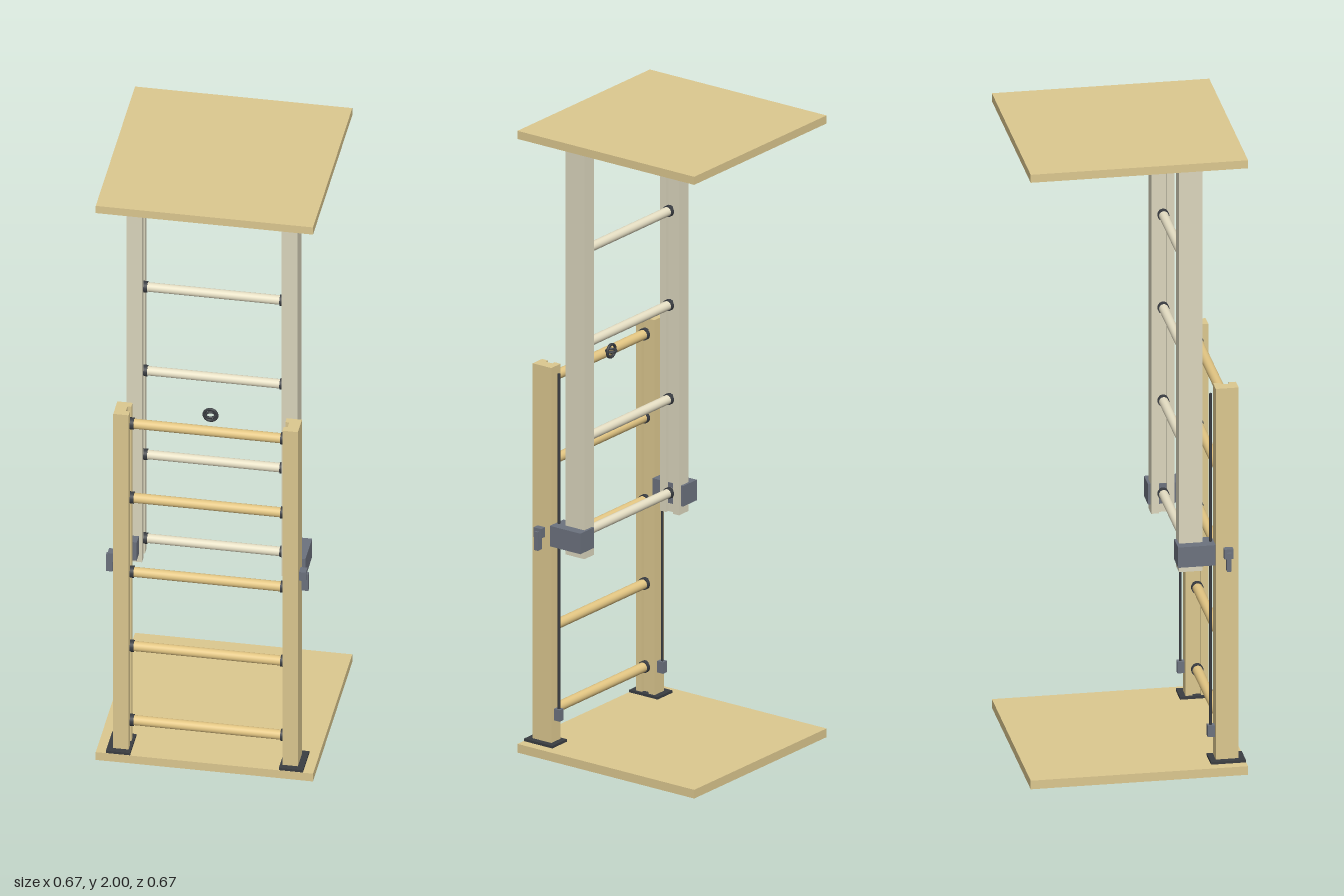
import * as THREE from 'three';

const mat = (color) => new THREE.MeshStandardMaterial({ color });
const WOOD = mat(0xdcc88f), RUNG = mat(0xe3c683), PALE = mat(0xdbd6bd), PALE_RUNG = mat(0xe6dfc4);
const STEEL = mat(0x6c727e), DARK = mat(0x3a3d42);

export function createModel() {
  const model = new THREE.Group();

  const add = (name, geometry, material, x = 0, y = 0, z = 0, parent = model) => {
    const mesh = new THREE.Mesh(geometry, material);
    mesh.name = name;
    mesh.position.set(x, y, z);
    parent.add(mesh);
    return mesh;
  };

  // box given by its limits on each axis, mirrored in x by side
  const box = (name, material, side, [x0, x1], [y0, y1], [z0, z1], parent) =>
    add(name, new THREE.BoxGeometry(x1 - x0, y1 - y0, z1 - z0), material,
      side * (x0 + x1) / 2, (y0 + y1) / 2, (z0 + z1) / 2, parent);

  // upright post with a groove along its inner face
  const rail = (name, material, side, [x0, x1], [y0, y1], [z0, z1]) => {
    const zm = (z0 + z1) / 2, g = 0.013, depth = 0.012;
    const profile = [[x0, z0], [x1, z0], [x1, z1], [x0, z1],
      [x0, zm + g], [x0 + depth, zm + g], [x0 + depth, zm - g], [x0, zm - g]];
    const shape = new THREE.Shape(profile.map(([x, z]) => new THREE.Vector2(side * x, -z)));
    const geometry = new THREE.ExtrudeGeometry(shape, { depth: y1 - y0, bevelEnabled: false });
    geometry.rotateX(-Math.PI / 2);
    return add(name, geometry, material, 0, y0, 0);
  };

  // round rung with a dark collar at each end
  const rung = (name, material, half, radius, y, z) => {
    const group = new THREE.Group();
    group.name = name;
    group.position.set(0, y, z);
    model.add(group);
    const bar = new THREE.CylinderGeometry(radius, radius, half * 2 + 0.016, 24).rotateZ(Math.PI / 2);
    add('rungBar', bar, material, 0, 0, 0, group);
    for (const side of [-1, 1]) {
      const collar = new THREE.CylinderGeometry(radius + 0.003, radius + 0.003, 0.014, 24).rotateZ(Math.PI / 2);
      add('rungCollar', collar, DARK, side * (half - 0.004), 0, 0, group);
    }
  };

  // floor and ceiling boards
  box('baseBoard', WOOD, 1, [-0.333, 0.333], [0, 0.028], [-0.333, 0.333]);
  box('topBoard', WOOD, 1, [-0.333, 0.333], [1.974, 2], [-0.333, 0.333]);

  for (const side of [-1, 1]) {
    // lower and upper ladder posts
    rail('lowerRail', WOOD, side, [0.236, 0.283], [0.03, 1.242], [0.243, 0.313]);
    rail('upperRail', PALE, side, [0.214, 0.262], [0.645, 1.974], [0.134, 0.206]);
    box('footPlate', DARK, side, [0.228, 0.302], [0.028, 0.036], [0.225, 0.332]);

    // sliding clamp around the outside of the upper post
    box('clampBlock', STEEL, side, [0.224, 0.293], [0.672, 0.738], [0.126, 0.241]);

    // locking lever on the outside of the lower post
    const lever = new THREE.Group();
    lever.name = 'lockLever';
    model.add(lever);
    box('leverHead', STEEL, side, [0.283, 0.304], [0.694, 0.725], [0.266, 0.294], lever);
    box('leverHandle', STEEL, side, [0.29, 0.31], [0.655, 0.715], [0.273, 0.287], lever);

    // guide cord behind the lower post
    add('cord', new THREE.CylinderGeometry(0.004, 0.004, 1.1, 10), DARK, side * 0.26, 0.67, 0.231);
    box('cordAnchor', STEEL, side, [0.25, 0.27], [0.105, 0.142], [0.221, 0.243]);
  }

  for (let i = 0; i < 5; i++) {
    rung('lowerRung', RUNG, 0.236, 0.0155, 0.121 + i * 0.2675, 0.278);
    rung('upperRung', PALE_RUNG, 0.214, 0.0145, 0.71 + i * 0.3025, 0.17);
  }

  // two crossed pull rings near the top of the lower ladder
  const pull = new THREE.Group();
  pull.name = 'pullRings';
  pull.position.set(0, 1.217, 0.229);
  model.add(pull);
  add('uprightRing', new THREE.TorusGeometry(0.02, 0.0045, 10, 28), DARK, 0, 0, 0, pull);
  add('flatRing', new THREE.TorusGeometry(0.015, 0.004, 10, 28).rotateX(Math.PI / 2), DARK, 0, 0, 0, pull);

  return model;
}
